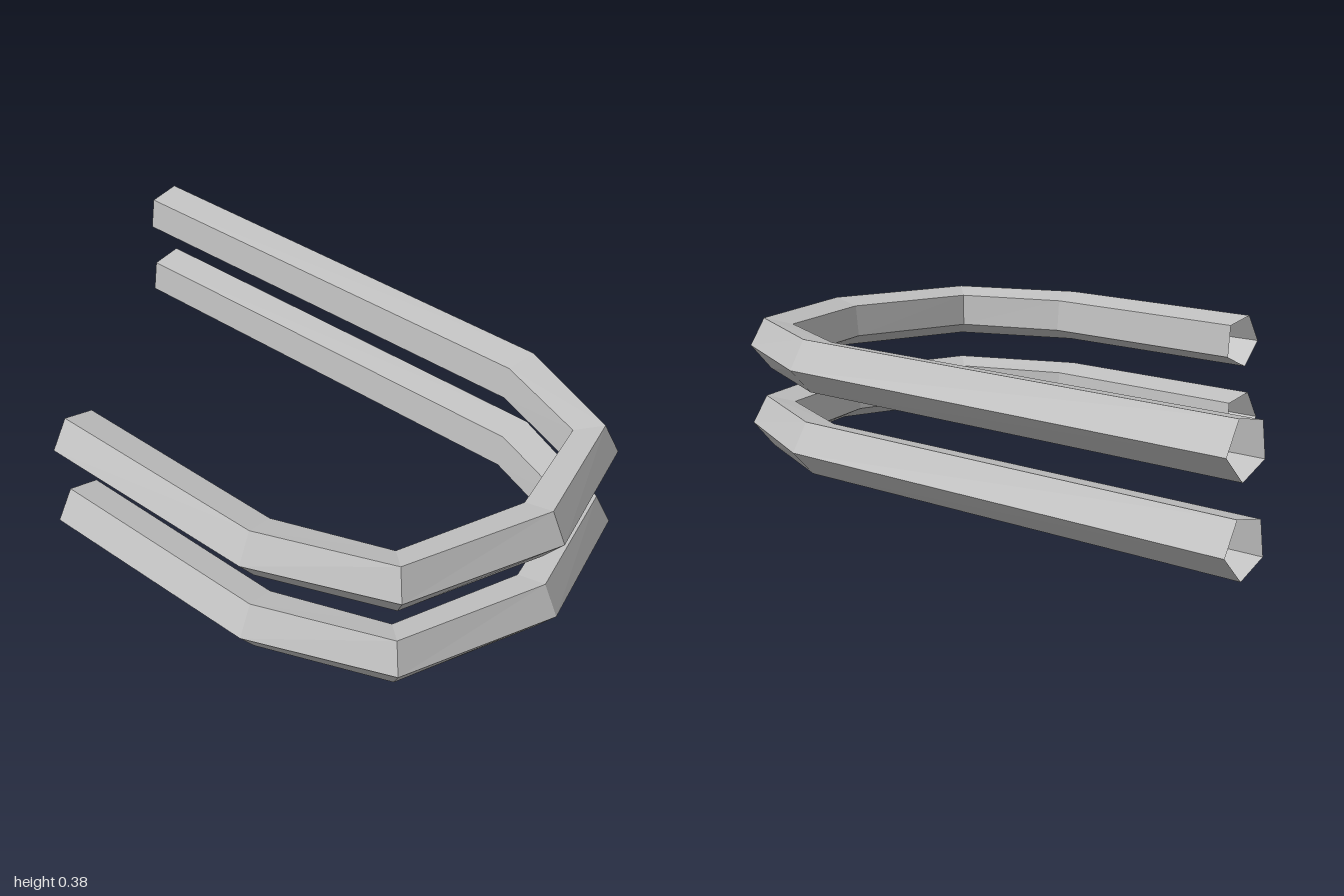
import * as THREE from 'three';

// Pentagonal cross-section: u points outward from the curve, v points up
const RADIUS = 0.08, SIDES = 5, TILT = -0.12;
const profile = Array.from({ length: SIDES }, (_, i) => {
  const a = TILT + (i * Math.PI * 2) / SIDES;
  return [RADIUS * Math.cos(a), RADIUS * Math.sin(a)];
});

// Stations along the bar: centre x, z and outward (mitre) direction x, z
const bend = [0.533, 0.467, 0.95, 0.17];
const corner = [0.392, 0.805, 0.6, 0.69];
const mirror = ([x, z, dx, dz]) => [-x, z, -dx, dz];
const stations = [
  [0.53, -1, 1, 0],
  bend,
  corner,
  [0.015, 0.924, 0, 0.95],
  mirror(corner),
  mirror(bend),
  [-0.53, -0.22, -1, 0],
];

// Open-ended tube swept through the stations
function barGeometry() {
  const positions = [], index = [];
  for (const [x, z, dx, dz] of stations) {
    for (const [u, v] of profile) positions.push(x + dx * u, v, z + dz * u);
  }
  for (let s = 0; s < stations.length - 1; s++) {
    for (let i = 0; i < SIDES; i++) {
      const j = (i + 1) % SIDES;
      const a = s * SIDES + i, b = s * SIDES + j;
      const c = a + SIDES, d = b + SIDES;
      index.push(a, b, c, b, d, c);
    }
  }
  const indexed = new THREE.BufferGeometry();
  indexed.setAttribute('position', new THREE.Float32BufferAttribute(positions, 3));
  indexed.setIndex(index);
  const geometry = indexed.toNonIndexed();
  geometry.computeVertexNormals();
  return geometry;
}

export function createModel() {
  const model = new THREE.Group();
  model.name = 'curvedRails';
  const metal = new THREE.MeshStandardMaterial({
    color: 0xc0c0c0, flatShading: true, side: THREE.DoubleSide,
  });
  metal.name = 'light grey metal';

  // Two identical rails, one above the other
  const geometry = barGeometry();
  ['lowerRail', 'upperRail'].forEach((name, i) => {
    const rail = new THREE.Mesh(geometry, metal);
    rail.name = name;
    rail.position.y = 0.079 + i * 0.233;
    model.add(rail);
  });
  return model;
}
